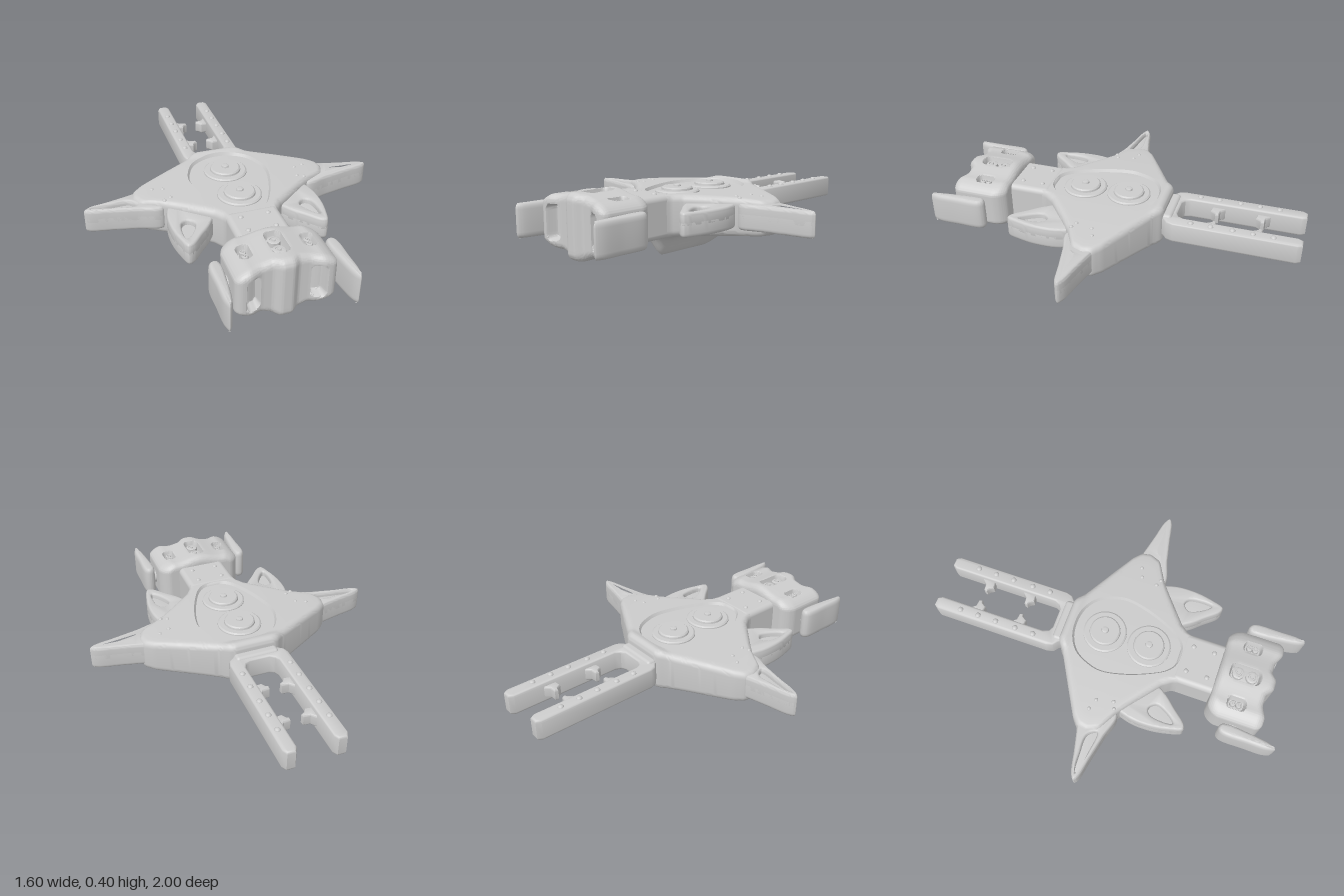
import * as THREE from 'three';
import { toCreasedNormals, mergeVertices } from 'three/addons/utils/BufferGeometryUtils.js';
import { RoundedBoxGeometry } from 'three/addons/geometries/RoundedBoxGeometry.js';

const material = new THREE.MeshStandardMaterial({ color: 0xcccccc });
const step = THREE.MathUtils.smoothstep;

export function createModel() {
  const model = new THREE.Group();
  const add = (name, geometry, x = 0, y = 0, z = 0) => {
    const mesh = new THREE.Mesh(geometry, material);
    mesh.name = name;
    mesh.position.set(x, y, z);
    model.add(mesh);
    return mesh;
  };

  // Closed smooth loop through [x, z] points
  const smooth = (pts, n = 64) =>
    new THREE.CatmullRomCurve3(pts.map(([x, z]) => new THREE.Vector3(x, 0, z)), true, 'centripetal')
      .getPoints(n).slice(0, n).map(p => [p.x, p.z]);
  const flip = (pts, s) => pts.map(([x, z]) => [x * s, z]);

  // Horizontal slab from a plan outline, with bevelled rim and an optional hole
  const slab = (pts, y0, y1, size, thick, hole) => {
    const toV = list => list.map(([x, z]) => new THREE.Vector2(x, -z));
    const shape = new THREE.Shape(toV(pts));
    if (hole) shape.holes.push(new THREE.Path(toV(hole)));
    const g = new THREE.ExtrudeGeometry(shape, {
      depth: y1 - y0 - 2 * thick, bevelSize: size, bevelOffset: -size, bevelThickness: thick, bevelSegments: 4,
    });
    g.rotateX(-Math.PI / 2).translate(0, y0 + thick, 0);
    return toCreasedNormals(g, 0.7);
  };
  // Solid blade with a pocket sunk in its top
  const blade = (name, pts, pocket, y0, y1) => {
    add(name, slab(pts, y0, y1 - 0.03, 0.012, 0.02));
    add(name + 'Rim', slab(pts, y0 + 0.04, y1, 0.012, 0.02, pocket));
  };
  const stud = (name, x, y, z, r) =>
    add(name, new THREE.SphereGeometry(r, 12, 6, 0, Math.PI * 2, 0, Math.PI / 2).scale(1, 0.8, 1), x, y, z);

  // ---- Hull: rings in plan from the top centre, over the rim, to the keel
  const CZ = 0.08;
  const mirrorLoop = half => [...half, ...half.slice().reverse().map(([x, z]) => [-x, z])];
  const hullLoop = mirrorLoop([[0.11, -0.27], [0.135, -0.26], [0.17, -0.23], [0.34, -0.135], [0.49, -0.05],
    [0.535, -0.01], [0.545, 0.04], [0.52, 0.1], [0.4, 0.165], [0.34, 0.21], [0.18, 0.34], [0.145, 0.39], [0.13, 0.46]]);
  const plateLoop = smooth(mirrorLoop([[0.07, -0.208], [0.16, -0.155], [0.21, -0.06], [0.222, 0.01], [0.2, 0.13],
    [0.15, 0.26], [0.1, 0.345], [0.05, 0.38]]), 96);
  const radius = (loop, a) => {
    const c = Math.cos(a), s = Math.sin(a);
    let best = 0;
    loop.forEach(([x0, z0], i) => {
      const [x1, z1] = loop[(i + 1) % loop.length];
      const ex = x1 - x0, ez = z1 - z0, d = c * ez - s * ex;
      if (Math.abs(d) < 1e-9) return;
      const t = (x0 * ez - (z0 - CZ) * ex) / d, u = (x0 * s - (z0 - CZ) * c) / d;
      if (t > 0 && u >= -1e-6 && u <= 1 + 1e-6) best = Math.max(best, t);
    });
    return best;
  };
  const topY = (x, z) => 0.345 - 0.09 * x * x + 0.012 * (1 - step(z, -0.24, -0.19)) * (1 - step(Math.abs(x), 0.1, 0.25));
  const bottomY = (x, z) => {
    const depth = 0.125 * (1 - step(z, 0.32, 0.42)) * step(z, -0.3, 0.03);
    const width = 0.07 + 0.07 * (1 - step(z, -0.25, 0.15));
    return 0.125 + 0.06 * x * x - depth * Math.exp(-((x / width) ** 2));
  };
  const R = 0.035, COLS = 240, rings = [];
  for (let i = 0; i <= 6; i++) rings.push((e, b) => [(e - 0.01) * i / 6, 'top', -0.016]);
  for (let i = 0; i <= 6; i++) rings.push((e, b) => [e + (b - R - e) * i / 6, 'top', 0]);
  for (let i = 1; i <= 6; i++) {
    const a = i / 6 * Math.PI / 2;
    rings.push((e, b) => [b - R * (1 - Math.sin(a)), 'top', R * (Math.cos(a) - 1)]);
  }
  for (let i = 0; i <= 6; i++) {
    const a = i / 6 * Math.PI / 2;
    rings.push((e, b) => [b - R * (1 - Math.cos(a)), 'bottom', R * (1 - Math.sin(a))]);
  }
  for (let i = 1; i <= 24; i++) rings.push((e, b) => [(b - R) * (1 - i / 24), 'bottom', 0]);
  const pos = [], idx = [];
  const radii = Array.from({ length: COLS }, (_, j) => {
    const a = j / COLS * Math.PI * 2;
    return [a, radius(plateLoop, a), radius(hullLoop, a)];
  });
  rings.forEach((ring, i) => radii.forEach(([a, e, b], j) => {
    const [r, side, dy] = ring(e, b);
    const x = r * Math.cos(a), z = CZ + r * Math.sin(a);
    pos.push(x, (side === 'top' ? topY(x, z) : bottomY(x, z)) + dy, z);
    if (i === rings.length - 1) return;
    const k = (j + 1) % COLS, p = i * COLS;
    idx.push(p + j, p + k, p + COLS + j, p + k, p + COLS + k, p + COLS + j);
  }));
  const hull = new THREE.BufferGeometry();
  hull.setAttribute('position', new THREE.Float32BufferAttribute(pos, 3));
  hull.setIndex(idx);
  add('hull', toCreasedNormals(hull, 0.7));

  // ---- Two stepped discs on the deck
  const discProfile = [[0, 0.04], [0.008, 0.04], [0.018, 0.036], [0.02, 0.028], [0.075, 0.028], [0.082, 0.022], [0.084, 0.012],
    [0.11, 0.012], [0.118, 0.006], [0.12, -0.01]].reverse().map(p => new THREE.Vector2(...p));
  for (const z of [-0.045, 0.205])
    add('deckDisc', toCreasedNormals(new THREE.LatheGeometry(discProfile, 48), 0.6), 0, 0.328, z);

  // ---- Neck
  add('neck', new RoundedBoxGeometry(0.28, 0.225, 0.28, 4, 0.03), 0, 0.2345, 0.51);

  // ---- Head: rounded block shaped by rule, with sunken slots
  const headGeo = new THREE.BoxGeometry(0.5, 0.3, 0.3, 90, 40, 60);
  const inRect = (x, z, cx, cz, hx, hz) => {
    const r = Math.min(hx, hz) * 0.7;
    const dx = Math.max(Math.abs(x - cx) - hx + r, 0), dz = Math.max(Math.abs(z - cz) - hz + r, 0);
    return 1 - step(Math.hypot(dx, dz) - r, -0.008, 0.004);
  };
  const hp = headGeo.attributes.position, v = new THREE.Vector3(), core = new THREE.Vector3();
  for (let i = 0; i < hp.count; i++) {
    v.fromBufferAttribute(hp, i);
    const onTop = v.y > 0.1499, onFront = v.z > 0.1499;
    core.set(THREE.MathUtils.clamp(v.x, -0.21, 0.21), THREE.MathUtils.clamp(v.y, -0.11, 0.11), THREE.MathUtils.clamp(v.z, -0.11, 0.11));
    v.sub(core);
    if (v.lengthSq() > 0) v.setLength(0.04);
    v.add(core);
    const ax = Math.abs(v.x), h = v.y / 0.15;
    const top = 0.4 - 0.025 * step(ax, 0, 0.16) - 0.025 * step(ax, 0.17, 0.25);
    const low = 0.07 + 0.03 * step(ax, 0.02, 0.13) + 0.03 * step(ax, 0.13, 0.25);
    const front = 0.9 - 0.03 * step(ax, 0.02, 0.07) + 0.028 * step(ax, 0.11, 0.19);
    let y = low + (top - low) * (h + 1) / 2;
    let z = 0.595 + (front - 0.595) * (v.z + 0.15) / 0.3;
    const x = v.x * (1 - 0.12 * (1 - step(z, 0.58, 0.67)));
    const z0 = z, y0 = y;
    if (onTop) y -= 0.045 * Math.max(inRect(x, z0, 0, 0.735, 0.042, 0.082), inRect(ax, z0, 0.16, 0.735, 0.03, 0.048));
    if (onFront) z -= 0.055 * inRect(ax, y0, 0.16, 0.237, 0.034, 0.088);
    hp.setXYZ(i, x, y, z);
  }
  headGeo.deleteAttribute('uv');
  headGeo.deleteAttribute('normal');
  add('head', toCreasedNormals(mergeVertices(headGeo, 1e-5), 0.7));

  // Knobs inside the head pockets
  const knob = (x, y, z, r) => {
    const profile = [[1, 0], [1, 0.9], [0.85, 1], [0.6, 1], [0.55, 0.85], [0.3, 0.85], [0.25, 1.1], [0, 1.15]];
    const pts = profile.map(([a, b]) => new THREE.Vector2(a * r, b * 0.03));
    add('headKnob', toCreasedNormals(new THREE.LatheGeometry(pts, 24), 0.6), x, y, z);
  };
  for (const z of [0.698, 0.772]) knob(0, 0.35, z, 0.032);

  // ---- Fork at the back
  const forkHalf = [[0.11, -0.25], [0.13, -0.275], [0.155, -0.295], [0.165, -0.33], [0.165, -0.975], [0.15, -1],
    [0.107, -1], [0.092, -0.975], [0.092, -0.375], [0.08, -0.345], [0.055, -0.332]];
  add('fork', slab(mirrorLoop(forkHalf), 0.178, 0.296, 0.012, 0.015));
  add('forkCollar', new RoundedBoxGeometry(0.24, 0.14, 0.06, 4, 0.02), 0, 0.237, -0.285);

  // ---- Mirrored parts
  for (const s of [1, -1]) {
    const side = s > 0 ? 'left' : 'right';
    blade(side + 'Wing',
      smooth(flip([[0.4, -0.06], [0.52, -0.015], [0.65, 0.018], [0.77, 0.046], [0.8, 0.068], [0.78, 0.086], [0.66, 0.112], [0.54, 0.138], [0.4, 0.165]], s)),
      smooth(flip([[0.53, 0.1], [0.56, 0.056], [0.66, 0.053], [0.76, 0.062], [0.76, 0.07], [0.64, 0.092]], s), 40), 0.172, 0.305);
    blade(side + 'Fin',
      smooth(flip([[0.17, 0.28], [0.21, 0.37], [0.27, 0.44], [0.335, 0.512], [0.365, 0.518], [0.39, 0.45], [0.408, 0.34], [0.4, 0.22], [0.36, 0.14], [0.22, 0.2]], s)),
      smooth(flip([[0.285, 0.345], [0.315, 0.312], [0.345, 0.325], [0.36, 0.4], [0.352, 0.455], [0.32, 0.425]], s), 40), 0.18, 0.302);
    add(side + 'CheekPlate',
      slab(smooth(flip([[0.268, 0.7], [0.295, 0.686], [0.321, 0.705], [0.327, 0.85], [0.325, 0.96], [0.31, 0.997], [0.292, 0.975], [0.272, 0.86]], s)),
        0.15, 0.325, 0.016, 0.03));
    add(side + 'CheekPin', new THREE.CylinderGeometry(0.04, 0.04, 0.08, 20).rotateZ(Math.PI / 2), 0.25 * s, 0.235, 0.76);
    for (const z of [0.718, 0.75]) knob(0.16 * s, 0.332, z, 0.016);

    // Claws on the inside of the fork
    const claw = [[0.1, -0.045], [0.088, -0.04], [0.07, -0.018], [0.034, -0.014], [0.03, 0.004], [0.045, 0.01], [0.06, 0.034], [0.1, 0.03]];
    for (const z of [-0.77, -0.525])
      add(side + 'Claw', slab(flip(claw, s), 0.205, 0.27, 0.006, 0.012), 0, 0, z);

    // Studs
    for (const z of [-0.42, -0.525, -0.64, -0.745, -0.85]) stud('forkStud', 0.132 * s, 0.294, z, 0.016);
    for (const z of [0.435, 0.55]) stud('neckStud', 0.072 * s, 0.345, z, 0.014);
    for (const [x, z] of [[0.43, 0.02], [0.375, 0.04], [0.39, 0.145], [0.355, 0.13]])
      stud('hullStud', x * s, topY(x, z) - 0.002, z, 0.011);
  }
  return model;
}
